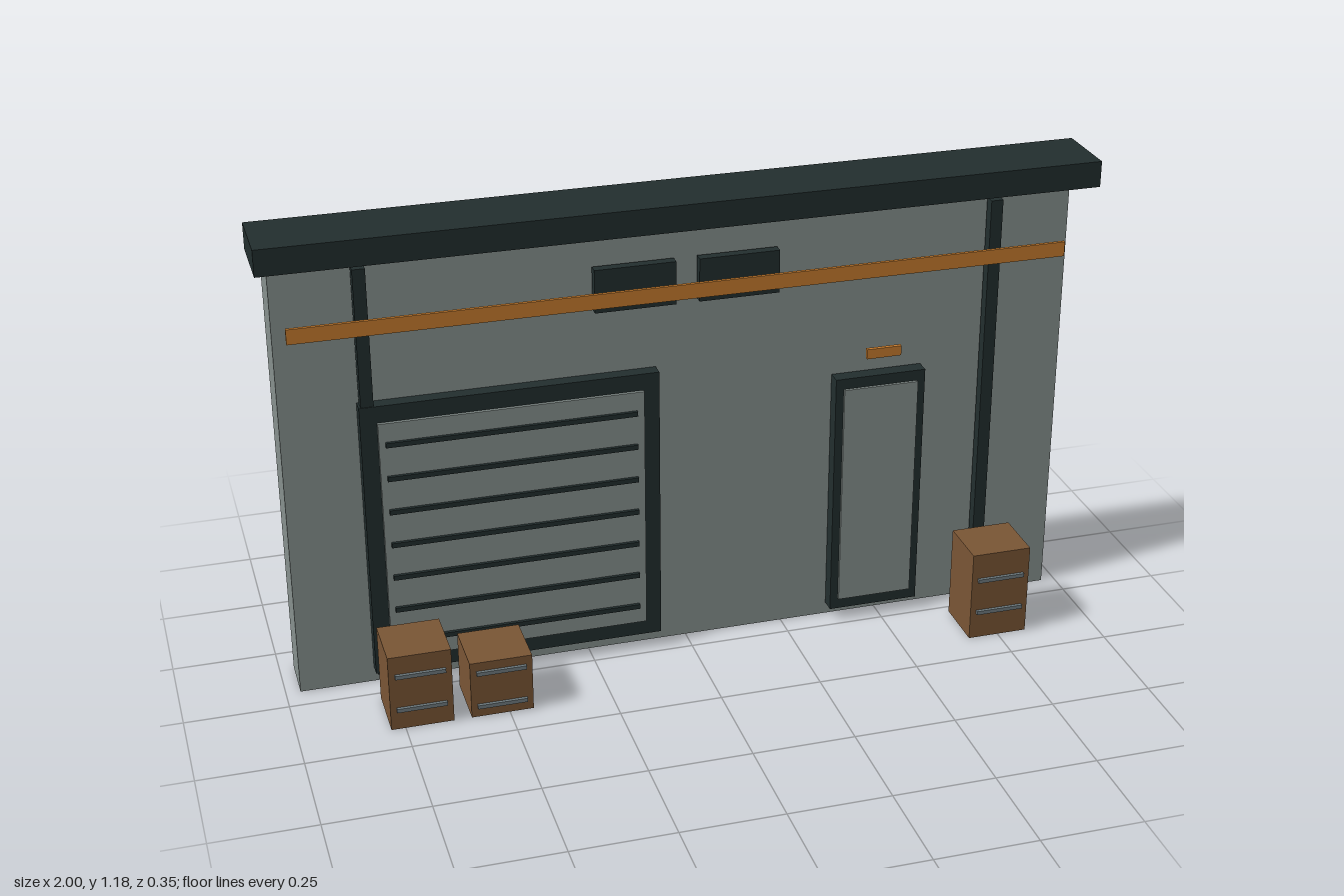
import * as THREE from 'three';

const material = (name, color) => {
  const m = new THREE.MeshStandardMaterial({ color });
  m.name = name;
  return m;
};

export function createModel() {
  const model = new THREE.Group();
  model.name = 'storefrontWall';
  const concrete = material('concreteGrey', 0x87918e);
  const dark = material('darkTrim', 0x222e2e);
  const orange = material('orangePaint', 0xc77c2e);
  const wood = material('crateBrown', 0x7a5635);
  const steel = material('steelGrey', 0x707c80);

  // Box given by its extents on each axis
  const box = (name, mat, [x0, x1], [y0, y1], [z0, z1], parent = model) => {
    const mesh = new THREE.Mesh(new THREE.BoxGeometry(x1 - x0, y1 - y0, z1 - z0), mat);
    mesh.position.set((x0 + x1) / 2, (y0 + y1) / 2, (z0 + z1) / 2);
    mesh.name = name;
    parent.add(mesh);
    return mesh;
  };

  // Wall slab and overhanging roof cap
  box('wall', concrete, [-0.965, 0.965], [0, 1.145], [-0.175, -0.06]);
  box('roofCap', dark, [-1, 1], [1.118, 1.182], [-0.14, 0.033]);

  // Downpipes
  for (const side of [-1, 1]) {
    const x = side * 0.765;
    box('downpipe', dark, [x - 0.015, x + 0.015], [0.035, 1.087], [-0.054, -0.027]);
  }

  // Vents and the painted band in front of them
  for (const x of [-0.127, 0.125]) {
    box('vent', dark, [x - 0.098, x + 0.098], [0.913, 1.02], [-0.054, -0.03]);
  }
  box('stripeBand', orange, [-0.938, 0.938], [0.933, 0.97], [-0.014, -0.006]);

  // Roller shutter with frame and slats
  const shutter = new THREE.Group();
  shutter.name = 'rollerShutter';
  model.add(shutter);
  box('shutterFrame', dark, [-0.785, -0.073], [0.04, 0.747], [-0.058, -0.025], shutter);
  box('shutterPanel', concrete, [-0.745, -0.112], [0.08, 0.705], [-0.03, -0.017], shutter);
  for (let i = 0; i < 7; i++) {
    const y = 0.128 + i * 0.0873;
    box('shutterSlat', dark, [-0.73, -0.13], [y - 0.006, y + 0.006], [-0.018, -0.009], shutter);
  }

  // Side door with frame and lamp
  const door = new THREE.Group();
  door.name = 'sideDoor';
  model.add(door);
  box('doorFrame', dark, [0.368, 0.597], [0.033, 0.67], [-0.056, -0.02], door);
  box('doorPanel', concrete, [0.388, 0.577], [0.062, 0.643], [-0.025, -0.013], door);
  box('doorLamp', orange, [0.438, 0.525], [0.725, 0.75], [-0.011, -0.001], door);

  // Crates with two steel straps each: centre x, height, front z
  for (const [x, height, front] of [[-0.709, 0.195, 0.168], [-0.517, 0.147, 0.168], [0.749, 0.234, 0.16]]) {
    const crate = new THREE.Group();
    crate.name = 'crate';
    model.add(crate);
    box('crateBody', wood, [x - 0.075, x + 0.075], [0, height], [0.022, front], crate);
    for (const offset of [-0.044, 0.046]) {
      const y = height / 2 + offset;
      box('crateStrap', steel, [x - 0.06, x + 0.06], [y - 0.005, y + 0.005], [front, front + 0.008], crate);
    }
  }
  return model;
}
